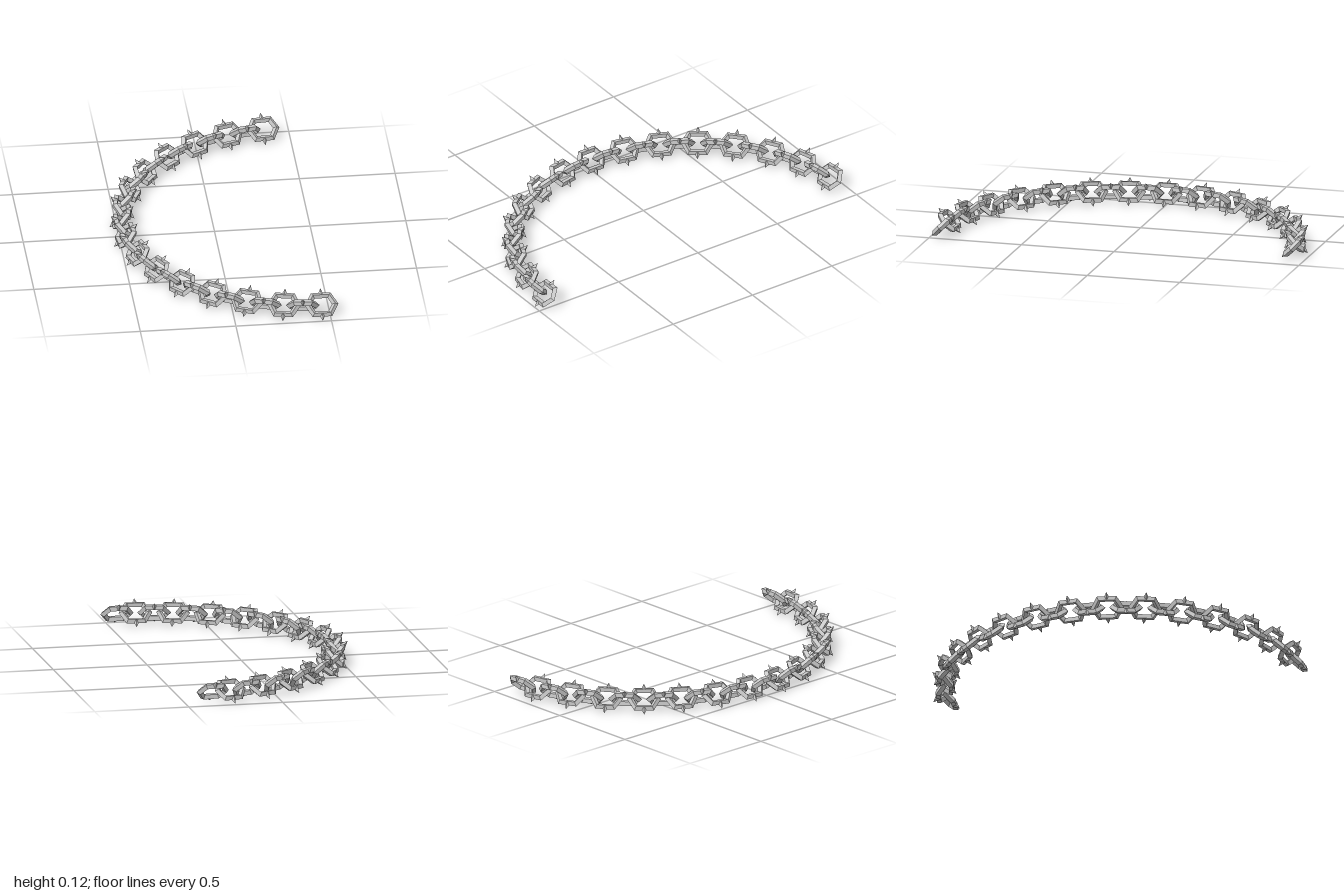
import * as THREE from 'three';

const LINKS = 30;
const ARC_RADIUS = 0.935;
const ARC_CENTRE_X = 0.455;
const CHAIN_HEIGHT = 0.0625;
const STEP = THREE.MathUtils.degToRad(6);

// Six-sided ring with a square section, its halves pulled apart along x
function linkGeometry() {
  const geo = new THREE.TorusGeometry(0.057, 0.017, 4, 6);
  const pos = geo.attributes.position;
  for (let i = 0; i < pos.count; i++) {
    pos.setX(i, pos.getX(i) + 0.014 * Math.sign(pos.getX(i)));
  }
  geo.computeVertexNormals();
  return geo;
}

// Four-sided spike standing on the outside of a long bar
function spikeGeometry() {
  return new THREE.ConeGeometry(0.017, 0.036, 4).translate(0, 0.07, 0);
}

export function createModel() {
  const model = new THREE.Group();
  model.name = 'spikedChain';
  const metal = new THREE.MeshStandardMaterial({ color: 0xcccccc, flatShading: true });
  const ring = linkGeometry();
  const spike = spikeGeometry();

  for (let i = 0; i < LINKS; i++) {
    const angle = i * STEP;
    const link = new THREE.Group();
    link.name = `link${i + 1}`;

    const body = new THREE.Mesh(ring, metal);
    body.name = 'linkRing';
    link.add(body);

    // One spike on each long side
    for (const side of [0, 1]) {
      const tip = new THREE.Mesh(spike, metal);
      tip.name = 'spike';
      tip.rotation.z = side * Math.PI;
      link.add(tip);
    }

    // Neighbouring links lean opposite ways about the chain's path
    link.rotation.order = 'YXZ';
    link.rotation.y = -angle;
    link.rotation.x = (i % 2 ? 1 : -1) * Math.PI / 4;
    link.position.set(
      ARC_CENTRE_X - ARC_RADIUS * Math.sin(angle),
      CHAIN_HEIGHT,
      ARC_RADIUS * Math.cos(angle)
    );
    model.add(link);
  }
  return model;
}
